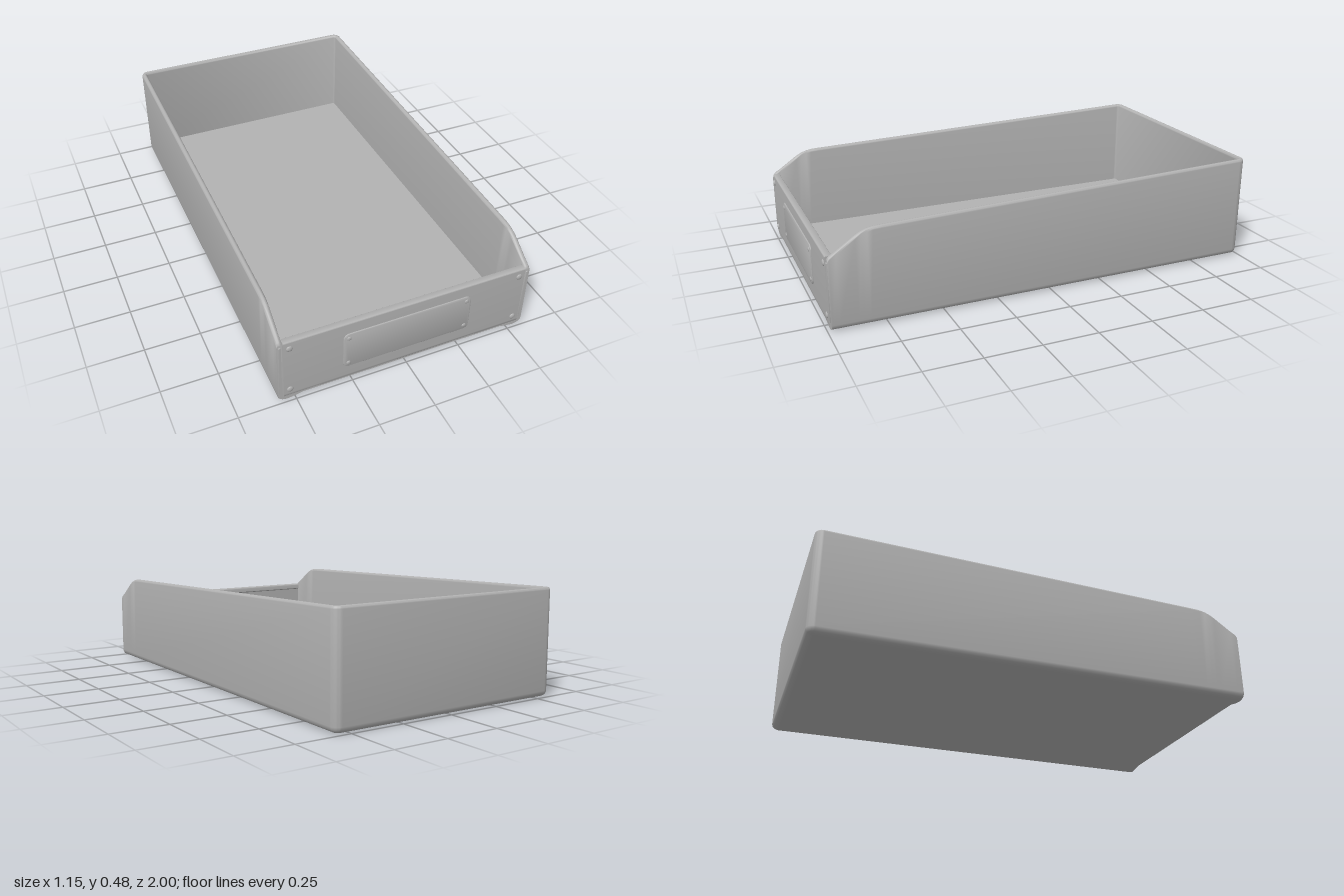
import * as THREE from 'three';
import { toCreasedNormals } from 'three/addons/utils/BufferGeometryUtils.js';

const W = 0.575, BACK = -1, FRONT = 0.985, WALL = 0.025, CORNER = 0.035, FLOOR = 0.035, INSET = 0.11;

// Wall top profile along the depth, from front to back: [z, height]
const RIM = [[FRONT, 0.318], [0.978, 0.328], [0.95, 0.345], [0.87, 0.4], [0.845, 0.414], [0.82, 0.423],
  [0.795, 0.428], [0.76, 0.43], [BACK + CORNER, 0.481]];

// Closed wall section as [inset from outside, y]: rolled bottom edge, wall, rounded rim, floor edge
function wallSection(h) {
  const pts = [[INSET, 0.012], [0.08, 0.005], [0.05, 0.001], [0.035, 0], [0.02, 0.004], [0.009, 0.01],
    [0.002, 0.019], [0, 0.03]];
  const r = WALL / 2;
  for (let i = 0; i <= 8; i++) {
    const a = Math.PI * i / 8;
    pts.push([r - r * Math.cos(a), h - r + r * Math.sin(a)]);
  }
  pts.push([WALL, FLOOR], [INSET, FLOOR]);
  return pts;
}

// Stations round the U-shaped plan; each one gives a point for any inset
function planStations() {
  const half = RIM.slice(0, -1).map(([z, h]) => ({ h, at: d => [W - d, z] }));
  const h = RIM[RIM.length - 1][1];
  for (let i = 0; i <= 8; i++) {
    const a = Math.PI / 2 * i / 8;
    half.push({ h: h + 0.001 * i / 8, at: d => {
      const r = Math.max(CORNER - d, 0.0005);
      return [W - d - r + r * Math.cos(a), BACK + d + r - r * Math.sin(a)];
    } });
  }
  const mirrored = half.slice().reverse().map(s => ({ h: s.h, at: d => [-s.at(d)[0], s.at(d)[1]] }));
  return [...half, ...mirrored];
}

function shellGeometry() {
  const rings = planStations().map(s => wallSection(s.h).map(([d, y]) => {
    const [x, z] = s.at(d);
    return [x, y, z];
  }));
  const n = rings[0].length, index = [];
  for (let i = 0; i < rings.length - 1; i++) {
    for (let j = 0; j < n; j++) {
      const k = (j + 1) % n, a = i * n, b = a + n;
      index.push(a + j, b + j, b + k, a + j, b + k, a + k);
    }
  }
  // Close both front ends
  const outline = rings[0].map(p => new THREE.Vector2(p[0], p[1]));
  const last = (rings.length - 1) * n;
  for (const [a, b, c] of THREE.ShapeUtils.triangulateShape(outline, [])) {
    index.push(a, b, c, last + a, last + c, last + b);
  }
  const geo = new THREE.BufferGeometry();
  geo.setAttribute('position', new THREE.Float32BufferAttribute(rings.flat(2), 3));
  geo.setIndex(index);
  return toCreasedNormals(geo, 0.7);
}

function roundedRect(w, h, r) {
  const x = w / 2, y = h / 2, s = new THREE.Shape();
  s.absarc(x - r, y - r, r, 0, Math.PI / 2);
  s.absarc(-x + r, y - r, r, Math.PI / 2, Math.PI);
  s.absarc(-x + r, -y + r, r, Math.PI, Math.PI * 1.5);
  s.absarc(x - r, -y + r, r, Math.PI * 1.5, Math.PI * 2);
  return s;
}

export function createModel() {
  const group = new THREE.Group();
  group.name = 'openTray';
  const grey = new THREE.MeshStandardMaterial({ color: 0xb2b2b2 });
  grey.name = 'grey metal';
  const add = (name, geo, x = 0, y = 0, z = 0) => {
    const mesh = new THREE.Mesh(geo, grey);
    mesh.name = name;
    mesh.position.set(x, y, z);
    group.add(mesh);
    return mesh;
  };

  // Side and back walls in one folded sheet
  add('sideAndBackWalls', shellGeometry());

  // Floor between the rolled edges
  const floorBack = BACK + INSET;
  add('floor', new THREE.BoxGeometry(2 * (W - INSET), FLOOR - 0.012, FRONT - floorBack),
    0, (FLOOR + 0.012) / 2, (FRONT + floorBack) / 2);

  // Front panel with rolled lower edge and a hemmed lip; profile is drawn as (-z, y)
  const p = new THREE.Shape();
  p.moveTo(-0.965, 0.014);
  p.lineTo(-0.965, 0.295);
  p.lineTo(-0.958, 0.3);
  p.lineTo(-0.958, 0.319);
  p.quadraticCurveTo(-0.96, 0.325, -0.966, 0.325);
  p.lineTo(-0.984, 0.325);
  p.quadraticCurveTo(-0.99, 0.325, -0.99, 0.319);
  p.lineTo(-0.99, 0.035);
  p.quadraticCurveTo(-0.99, 0.014, -0.972, 0.014);
  p.closePath();
  const panel = new THREE.ExtrudeGeometry(p, { depth: 1.1, bevelEnabled: false, curveSegments: 6 });
  panel.rotateY(Math.PI / 2);
  panel.translate(-0.55, 0, 0);
  add('frontPanel', toCreasedNormals(panel, 0.6));

  // Label plate with a soft raised border
  const plate = new THREE.ExtrudeGeometry(roundedRect(0.572, 0.172, 0.02), {
    depth: 0.002, bevelThickness: 0.004, bevelSize: 0.006, bevelSegments: 3, curveSegments: 6 });
  add('labelPlate', toCreasedNormals(plate, 0.6), 0, 0.178, 0.99);

  // Domed rivets on the plate and the panel corners
  const rivet = (name, r, x, y, z, h) => {
    const geo = new THREE.SphereGeometry(r, 20, 6, 0, Math.PI * 2, 0, Math.PI / 2);
    geo.scale(1, h / r, 1);
    geo.rotateX(Math.PI / 2);
    add(name, geo, x, y, z);
  };
  for (const side of [1, -1]) {
    for (const y of [0.058, 0.289]) rivet('panelRivet', 0.014, side * 0.523, y, 0.99, 0.006);
    for (const y of [0.109, 0.247]) rivet('plateRivet', 0.01, side * 0.269, y, 0.996, 0.004);

    // Narrow flange strip on the front end of each side wall
    const strip = new THREE.ExtrudeGeometry(roundedRect(0.01, 0.265, 0.004), {
      depth: 0.005, bevelEnabled: false, curveSegments: 4 });
    add('sideFlange', toCreasedNormals(strip, 0.6), side * 0.563, 0.172, FRONT);
  }
  return group;
}
